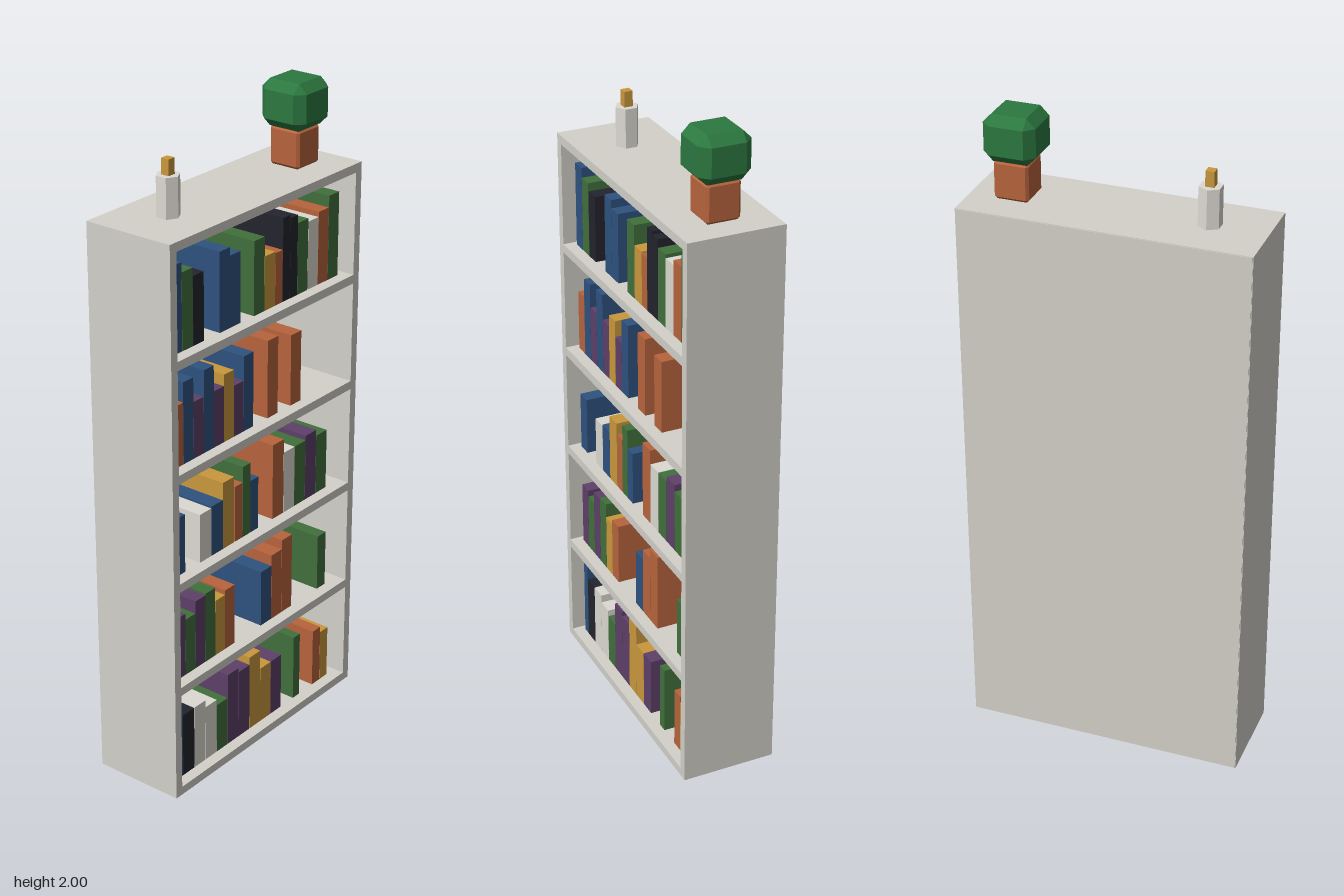
import * as THREE from 'three';
import { ConvexGeometry } from 'three/addons/geometries/ConvexGeometry.js';

const mat = (name, color) => new THREE.MeshStandardMaterial({ name, color, flatShading: true });
const M = {
  case: mat('stone grey', 0xd3d1c9),
  W: mat('ivory', 0xdcdad2),
  B: mat('blue', 0x2e527f),
  G: mat('green', 0x41703d),
  K: mat('black', 0x23242d),
  Y: mat('mustard', 0xc9983d),
  O: mat('terracotta', 0xb8643d),
  P: mat('purple', 0x5e4069),
  leaf: mat('leaf green', 0x2c7840),
};

const W = 0.865, H = 1.745, D = 0.292, T = 0.027, PITCH = (H - T) / 5;

function add(parent, name, geometry, material, x, y, z) {
  const mesh = new THREE.Mesh(geometry, material);
  mesh.name = name;
  mesh.position.set(x, y, z);
  parent.add(mesh);
}

const box = (w, h, d) => new THREE.BoxGeometry(w, h, d);

// Box with every edge cut at 45 degrees by c
function chamferBox(w, h, d, c) {
  const half = [w / 2, h / 2, d / 2], points = [];
  for (let i = 0; i < 8; i++) {
    const sign = [i & 1 ? 1 : -1, i & 2 ? 1 : -1, i & 4 ? 1 : -1];
    for (let face = 0; face < 3; face++) {
      const p = half.map((s, axis) => sign[axis] * (axis === face ? s : s - c));
      points.push(new THREE.Vector3(...p));
    }
  }
  return new ConvexGeometry(points);
}

// Row of touching books sharing the space from x0 to x1, one colour letter and height each
function bookRun(parent, shelf, x0, x1, colors, ...heights) {
  const run = new THREE.Group();
  run.name = 'bookRun';
  run.position.set(x0, T + shelf * PITCH, 0);
  parent.add(run);
  const pitch = (x1 - x0) / heights.length;
  heights.forEach((h, i) => {
    add(run, 'book', box(pitch - 0.001, h, 0.22), M[colors[i]], (i + 0.5) * pitch, h / 2, 0);
  });
}

export function createModel() {
  const root = new THREE.Group();
  root.name = 'bookcase';

  // Carcass: sides, boards and back panel
  const carcass = new THREE.Group();
  carcass.name = 'carcass';
  root.add(carcass);
  for (const s of [1, -1]) {
    add(carcass, s > 0 ? 'leftSide' : 'rightSide', box(T, H, D), M.case, s * (W - T) / 2, H / 2, 0);
  }
  for (let i = 0; i <= 5; i++) {
    const name = i === 0 ? 'baseBoard' : i === 5 ? 'topBoard' : 'shelf';
    add(carcass, name, box(W - 2 * T, T, D), M.case, 0, T / 2 + i * PITCH, 0);
  }
  add(carcass, 'backPanel', box(W - 0.004, H - 0.004, 0.012), M.case, 0, H / 2, -D / 2 + 0.004);

  // Books, bottom shelf first
  const books = new THREE.Group();
  books.name = 'books';
  root.add(books);
  bookRun(books, 0, -0.386, -0.358, 'B', 0.255);
  bookRun(books, 0, -0.357, 0.122, 'KWWGPPYYP', 0.21, 0.21, 0.185, 0.165, 0.245, 0.23, 0.255, 0.19, 0.19);
  bookRun(books, 0, 0.185, 0.218, 'G', 0.22);
  bookRun(books, 0, 0.286, 0.365, 'OY', 0.195, 0.175);

  bookRun(books, 1, -0.386, -0.111, 'PGPGYO', 0.205, 0.185, 0.225, 0.23, 0.185, 0.2);
  bookRun(books, 1, 0.016, 0.17, 'BOO', 0.185, 0.22, 0.25);
  bookRun(books, 1, 0.302, 0.344, 'G', 0.185);

  bookRun(books, 2, -0.386, -0.338, 'B', 0.185);
  bookRun(books, 2, -0.272, -0.114, 'WBY', 0.155, 0.16, 0.215);
  bookRun(books, 2, -0.111, 0, 'OGB', 0.18, 0.23, 0.17);
  bookRun(books, 2, 0.069, 0.338, 'OWGPG', 0.245, 0.2, 0.2, 0.215, 0.195);

  bookRun(books, 3, -0.386, -0.026, 'OBPBPYPB', 0.19, 0.25, 0.175, 0.255, 0.175, 0.21, 0.16, 0.235);
  bookRun(books, 3, 0.04, 0.09, 'O', 0.245);
  bookRun(books, 3, 0.151, 0.201, 'O', 0.225);

  bookRun(books, 4, -0.389, -0.248, 'BGK', 0.26, 0.23, 0.205);
  bookRun(books, 4, -0.18, -0.087, 'BB', 0.24, 0.215);
  bookRun(books, 4, -0.026, 0.072, 'GY', 0.225, 0.165);
  bookRun(books, 4, 0.072, 0.177, 'OKK', 0.16, 0.255, 0.245);
  bookRun(books, 4, 0.177, 0.375, 'GWOG', 0.22, 0.21, 0.225, 0.26);

  // Potted plant on top
  const plant = new THREE.Group();
  plant.name = 'pottedPlant';
  plant.position.set(0.303, H, 0);
  root.add(plant);
  add(plant, 'pot', chamferBox(0.104, 0.116, 0.104, 0.008), M.O, 0, 0.058, 0);
  add(plant, 'foliage', chamferBox(0.156, 0.14, 0.156, 0.027), M.leaf, 0, 0.185, 0);

  // Candle on top
  const candle = new THREE.Group();
  candle.name = 'candle';
  candle.position.set(-0.263, H, 0);
  root.add(candle);
  add(candle, 'wax', new THREE.CylinderGeometry(0.035, 0.035, 0.118, 6), M.W, 0, 0.059, 0);
  add(candle, 'flame', box(0.026, 0.047, 0.026), M.Y, 0, 0.141, 0);

  return root;
}
